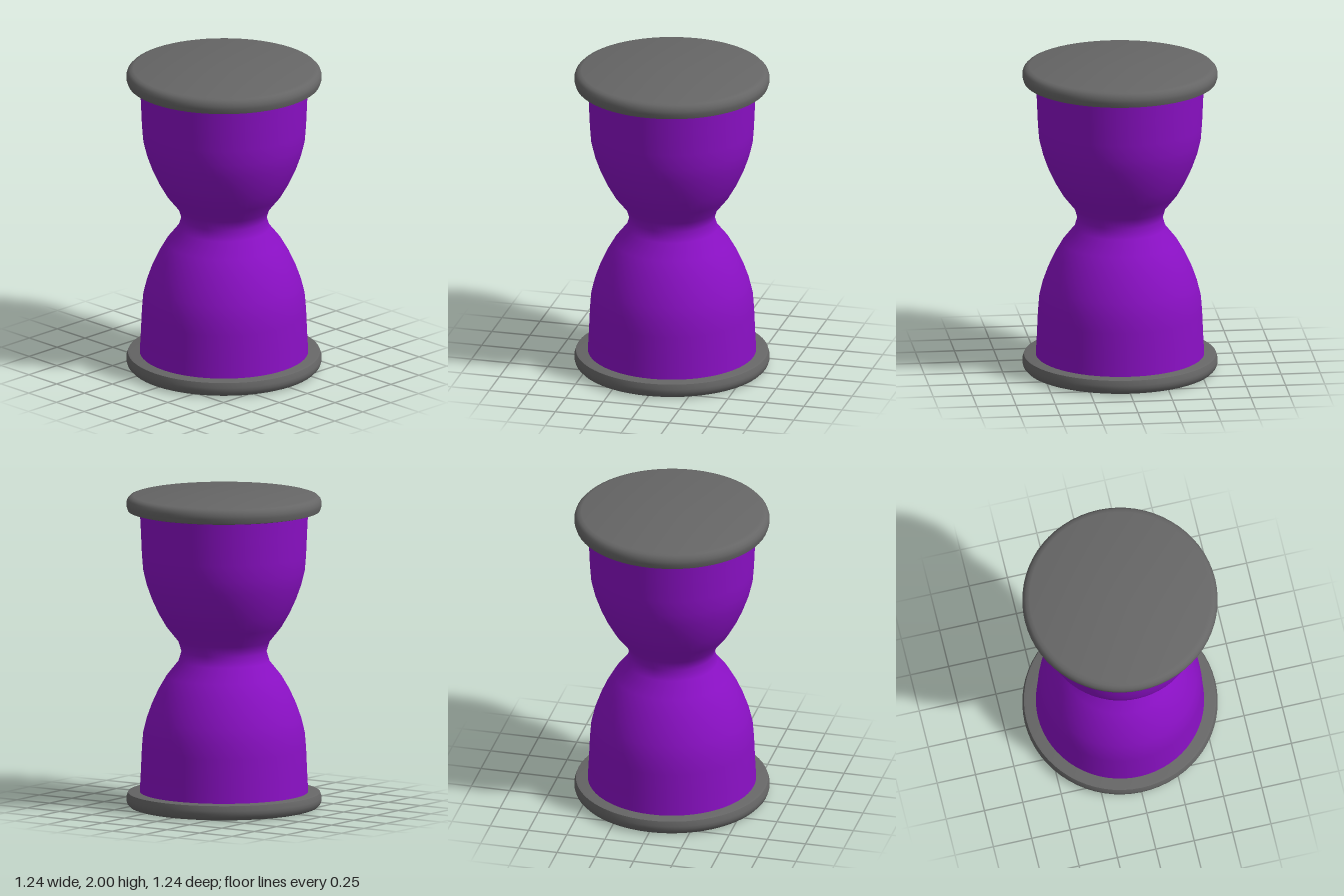
import * as THREE from 'three';
import { toCreasedNormals } from 'three/addons/utils/BufferGeometryUtils.js';

const SEGMENTS = 64;
const toPoints = (pairs) => pairs.map(([r, y]) => new THREE.Vector2(r, y));

export function createModel() {
  const group = new THREE.Group();
  group.name = 'hourglass';
  const purple = new THREE.MeshStandardMaterial({ color: 0x8a10c4 });
  const darkGrey = new THREE.MeshStandardMaterial({ color: 0x666666 });

  // Waisted body: one half profile, mirrored about the neck at y = 1
  const half = [
    [0.535, 0.09], [0.528, 0.22], [0.521, 0.38], [0.513, 0.48],
    [0.491, 0.57], [0.459, 0.66], [0.418, 0.75], [0.366, 0.84],
    [0.29, 0.935],
  ];
  const mirrored = half.map(([r, y]) => [r, 2 - y]).reverse();
  const profile = toPoints([...half, [0.27, 1], ...mirrored]);
  const body = new THREE.Mesh(new THREE.LatheGeometry(profile, SEGMENTS), purple);
  body.name = 'body';
  group.add(body);

  // Round end cap: flat outer face, rounded rim, flat inner face
  const capProfile = toPoints([
    [0, 0], [0.575, 0], [0.598, 0.007], [0.613, 0.023], [0.62, 0.045],
    [0.62, 0.065], [0.61, 0.096], [0.595, 0.1], [0, 0.1],
  ]);
  const capGeometry = toCreasedNormals(new THREE.LatheGeometry(capProfile, SEGMENTS), 0.8);
  for (const [name, y, turn] of [['bottomCap', 0, 0], ['topCap', 2, Math.PI]]) {
    const cap = new THREE.Mesh(capGeometry, darkGrey);
    cap.name = name;
    cap.position.y = y;
    cap.rotation.x = turn;
    group.add(cap);
  }

  return group;
}
